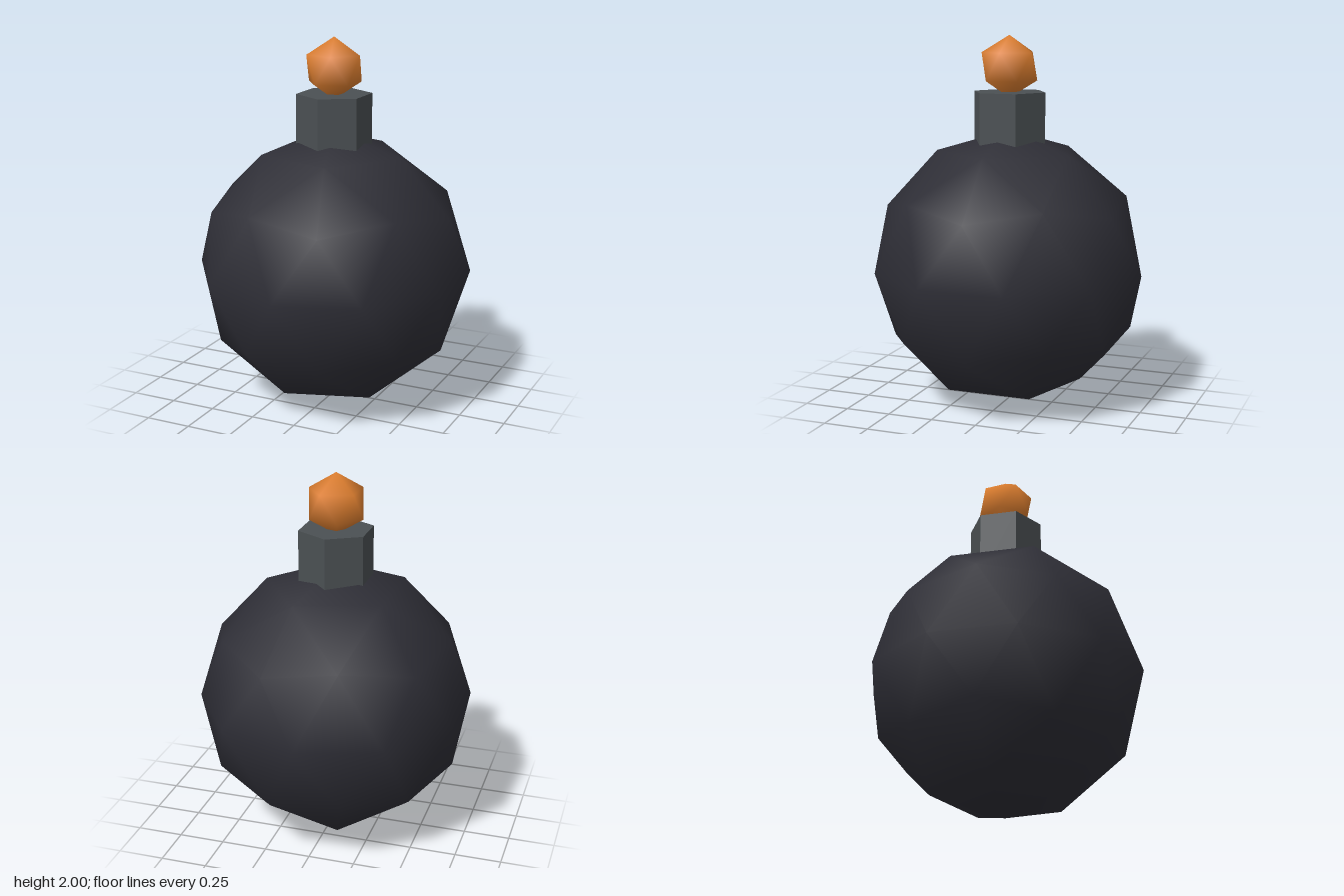
import * as THREE from 'three';

const bodyDark = new THREE.MeshStandardMaterial({ color: 0x2e2e36 });
bodyDark.name = 'charcoal';
const neckGrey = new THREE.MeshStandardMaterial({ color: 0x4b5053, flatShading: true });
neckGrey.name = 'slate grey';
const emberOrange = new THREE.MeshStandardMaterial({ color: 0xe08030 });
emberOrange.name = 'ember orange';

// Smooth-shaded icosphere with one corner pointing straight up
function icoBall(name, radius, detail, y, material) {
  const geometry = new THREE.IcosahedronGeometry(radius, detail);
  geometry.rotateZ(-Math.atan(2 / (1 + Math.sqrt(5))));
  const p = geometry.attributes.position;
  const n = geometry.attributes.normal;
  for (let i = 0; i < p.count; i++) {
    n.setXYZ(i, p.getX(i) / radius, p.getY(i) / radius, p.getZ(i) / radius);
  }
  const mesh = new THREE.Mesh(geometry, material);
  mesh.name = name;
  mesh.position.y = y;
  return mesh;
}

export function createModel() {
  const group = new THREE.Group();
  group.name = 'roundBomb';

  // Round body
  const body = icoBall('body', 0.743, 1, 0.748, bodyDark);
  body.scale.y = 0.748 / 0.743;
  group.add(body);

  // Hexagonal neck, sunk into the body
  const neck = new THREE.Mesh(new THREE.CylinderGeometry(0.203, 0.203, 0.4, 6), neckGrey);
  neck.name = 'neck';
  neck.position.y = 1.5;
  group.add(neck);

  // Glowing fuse tip
  group.add(icoBall('fuseTip', 0.166, 0, 1.834, emberOrange));

  return group;
}
